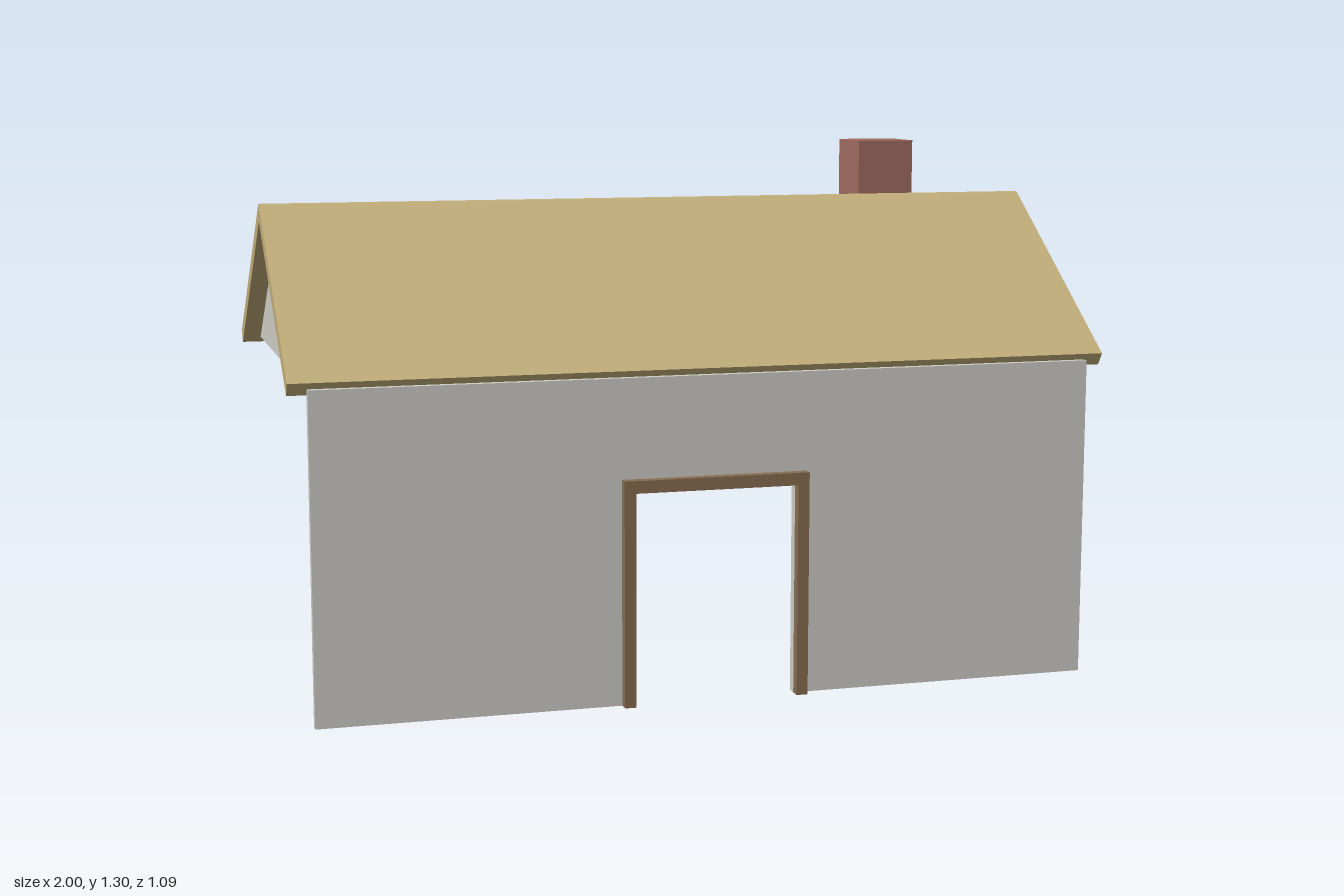
import * as THREE from 'three';

const material = (name, color) => {
  const m = new THREE.MeshStandardMaterial({ color });
  m.name = name;
  return m;
};

// Extrude a closed outline of [x, y] points
function extrude(points, depth) {
  const shape = new THREE.Shape(points.map(([x, y]) => new THREE.Vector2(x, y)));
  return new THREE.ExtrudeGeometry(shape, { depth, bevelEnabled: false });
}

// Extrude a [z, y] profile along x, centred on x = 0
function extrudeAlongX(points, width) {
  return extrude(points, width).rotateY(-Math.PI / 2).translate(width / 2, 0, 0);
}

// Arch outline: outer block with a doorway open at the ground
function doorwayOutline(outerX, outerY, innerX, innerY) {
  return [
    [-outerX, 0], [-innerX, 0], [-innerX, innerY], [innerX, innerY],
    [innerX, 0], [outerX, 0], [outerX, outerY], [-outerX, outerY],
  ];
}

export function createModel() {
  const group = new THREE.Group();
  group.name = 'cottage';

  const plaster = material('plaster', 0xcfcdc7);
  const thatch = material('thatch', 0xc2ae7a);
  const wood = material('wood', 0x876d52);
  const brick = material('brick', 0xa06c60);

  const add = (name, geometry, mat) => {
    const mesh = new THREE.Mesh(geometry, mat);
    mesh.name = name;
    group.add(mesh);
    return mesh;
  };

  // Front wall with doorway, and the raised frame around it
  add('frontWall', extrude(doorwayOutline(0.955, 0.785, 0.2, 0.515), 0.025), plaster).position.z = 0.5;
  add('doorFrame', extrude(doorwayOutline(0.228, 0.545, 0.2, 0.515), 0.025), wood).position.z = 0.525;

  // Thick pitched roof, with the ridge slightly behind centre
  const ridgeZ = -0.013;
  add('roof', extrudeAlongX([
    [ridgeZ + 0.51, 0.77], [ridgeZ + 0.53, 0.8], [ridgeZ + 0.008, 1.167], [ridgeZ, 1.17],
    [ridgeZ - 0.008, 1.167], [ridgeZ - 0.53, 0.8], [ridgeZ - 0.51, 0.77], [ridgeZ, 1.126],
  ], 2), thatch);

  // Triangular gables at both ends, tucked under the roof
  const gable = extrudeAlongX([
    [ridgeZ + 0.505, 0.785], [ridgeZ, 1.13], [ridgeZ - 0.505, 0.785],
  ].reverse(), 0.025);
  for (const [name, side] of [['leftGable', 1], ['rightGable', -1]]) {
    add(name, gable, plaster).position.x = side * 0.9425;
  }

  // Chimney passing through the rear slope
  add('chimney', new THREE.BoxGeometry(0.15, 0.395, 0.15), brick).position.set(0.65, 1.1075, -0.145);

  return group;
}
